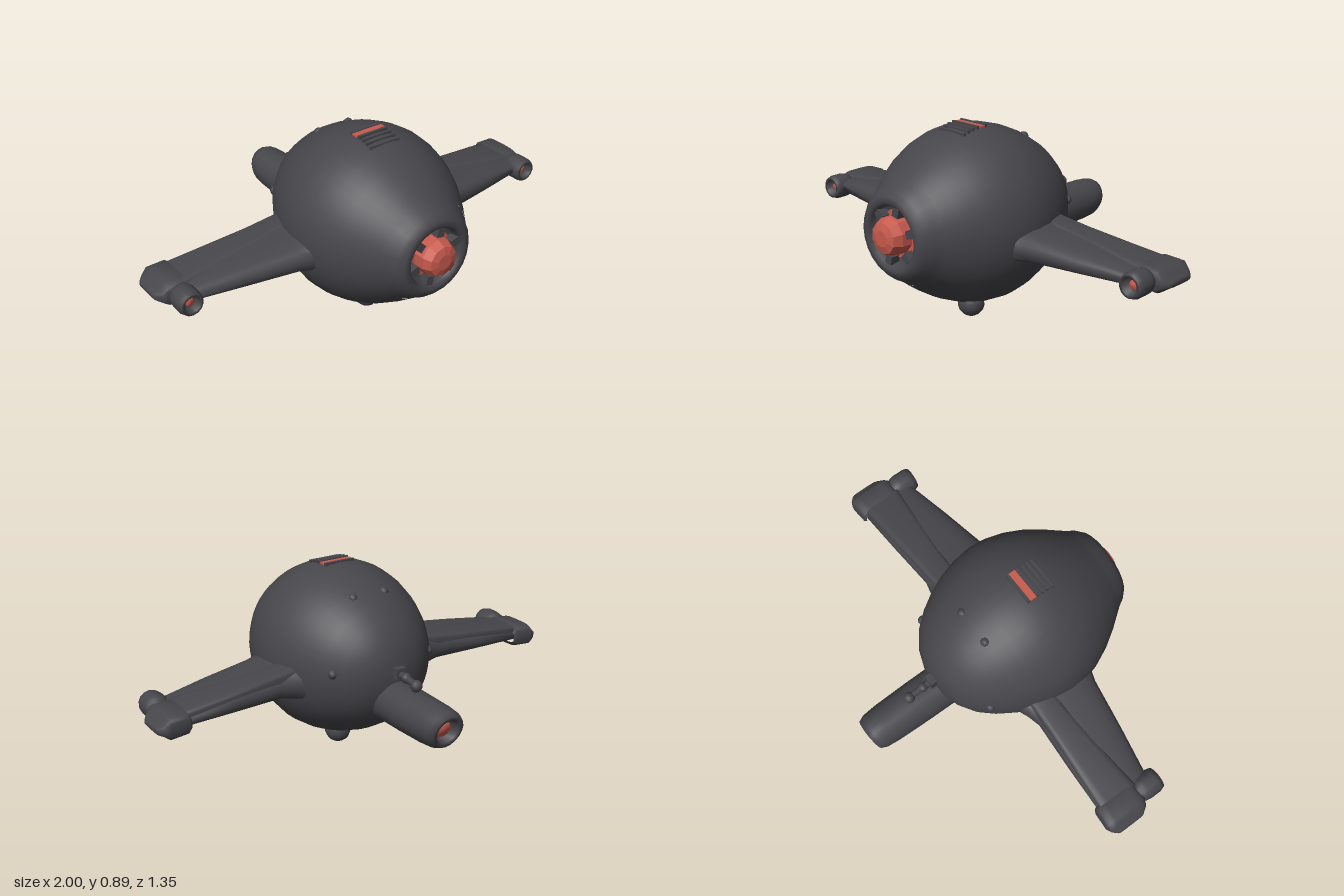
import * as THREE from 'three';

const hull = new THREE.MeshStandardMaterial({ color: 0x46464b });
hull.name = 'charcoal hull';
const red = new THREE.MeshStandardMaterial({ color: 0xc85a4e });
red.name = 'red lens';

const V = (pts) => pts.map(([r, t]) => new THREE.Vector2(r, t));

function add(parent, name, geo, mat, x = 0, y = 0, z = 0) {
  const m = new THREE.Mesh(geo, mat);
  m.name = name;
  m.position.set(x, y, z);
  parent.add(m);
  return m;
}

// Lathe turned so its axis runs along +z; points are [radius, z]
const latheZ = (pts, n) => new THREE.LatheGeometry(V(pts), n).rotateX(Math.PI / 2);

// Faceted copy of a geometry
function facet(geo) {
  const g = geo.toNonIndexed();
  g.computeVertexNormals();
  return g;
}

// Rounded sections stacked along x: [x, z0, z1, y0, y1]; side is +1 or -1
function loftX(sections, side, power) {
  const n = 20, pos = [], idx = [];
  const soft = (v) => Math.sign(v) * Math.pow(Math.abs(v), power);
  for (const [x, z0, z1, y0, y1] of sections) {
    for (let k = 0; k < n; k++) {
      const a = (side * 2 * Math.PI * k) / n;
      pos.push(side * x, (y0 + y1) / 2 + ((y1 - y0) / 2) * soft(Math.sin(a)),
        (z0 + z1) / 2 + ((z1 - z0) / 2) * soft(Math.cos(a)));
    }
  }
  for (let i = 0; i < sections.length - 1; i++) {
    for (let k = 0; k < n; k++) {
      const a = i * n + k, b = i * n + ((k + 1) % n);
      idx.push(a, a + n, b, b, a + n, b + n);
    }
  }
  // Outer end cap
  const last = (sections.length - 1) * n;
  for (let k = 1; k < n - 1; k++) idx.push(last, last + k + 1, last + k);
  const g = new THREE.BufferGeometry();
  g.setAttribute('position', new THREE.Float32BufferAttribute(pos, 3));
  g.setIndex(idx);
  g.computeVertexNormals();
  return g;
}

function makeWing(side) {
  const w = new THREE.Group();
  w.name = side > 0 ? 'leftWing' : 'rightWing';

  // Root fairing and main blade
  add(w, 'wingBlade', loftX([
    [0.28, -0.09, 0.32, 0.34, 0.54], [0.36, -0.06, 0.295, 0.362, 0.515],
    [0.42, -0.045, 0.275, 0.372, 0.5], [0.65, -0.06, 0.235, 0.378, 0.478],
    [0.88, -0.07, 0.19, 0.385, 0.45],
  ], side, 0.7), hull);

  // Raised rear spar
  add(w, 'wingSpar', loftX([
    [0.34, -0.035, 0.085, 0.4, 0.52], [0.5, -0.04, 0.09, 0.4, 0.5], [0.88, -0.065, 0.125, 0.39, 0.462],
  ], side, 0.45), hull);

  // Barrel at the wing tip
  add(w, 'tipBarrel', loftX([
    [0.855, -0.075, 0.115, 0.38, 0.44], [0.87, -0.085, 0.12, 0.36, 0.465], [0.95, -0.09, 0.12, 0.355, 0.46],
    [0.975, -0.08, 0.11, 0.375, 0.43], [0.995, -0.06, 0.08, 0.385, 0.415], [1.0, -0.05, 0.07, 0.392, 0.408],
  ], side, 0.5), hull);

  // Forward pod with hollow muzzle and lamp
  add(w, 'tipPod', latheZ([
    [0.03, 0.06], [0.036, 0.11], [0.052, 0.125], [0.057, 0.15], [0.057, 0.2],
    [0.05, 0.222], [0.036, 0.222], [0.03, 0.195], [0, 0.195],
  ], 14), hull, side * 0.908, 0.413, 0);
  add(w, 'tipLamp', latheZ([[0.023, 0.19], [0.018, 0.2], [0, 0.203]], 8), red, side * 0.908, 0.413, 0);
  return w;
}

export function createModel() {
  const model = new THREE.Group();
  model.name = 'roundProbe';
  const cy = 0.492;

  // Egg-shaped body, open at the nose where the collar begins
  add(model, 'body', latheZ([
    [0, -0.305], [0.08, -0.298], [0.155, -0.27], [0.225, -0.22], [0.28, -0.155], [0.326, -0.08],
    [0.361, 0], [0.384, 0.08], [0.394, 0.16], [0.387, 0.24], [0.366, 0.32], [0.33, 0.4],
    [0.28, 0.48], [0.232, 0.545],
  ], 48), hull, 0, cy, 0);

  // Nose collar with recess
  add(model, 'noseCollar', latheZ([
    [0.234, 0.542], [0.212, 0.573], [0.194, 0.605], [0.17, 0.63], [0.145, 0.634], [0.13, 0.62], [0.122, 0.58], [0, 0.575],
  ], 24), hull, 0, cy, 0);

  // Faceted lens with its glowing seat and clamps
  add(model, 'lensSeat', new THREE.RingGeometry(0.06, 0.104, 24), red, 0, 0.497, 0.585);
  add(model, 'noseLens', facet(latheZ([
    [0.085, 0.575], [0.084, 0.632], [0.068, 0.67], [0.035, 0.68], [0, 0.68],
  ], 10)), red, 0, 0.497, 0);
  for (let i = 0; i < 6; i++) {
    const a = (i * Math.PI) / 3 + 0.3;
    const clamp = add(model, 'lensClamp', new THREE.BoxGeometry(0.04, 0.035, 0.045), hull,
      Math.cos(a) * 0.11, cy + Math.sin(a) * 0.11, 0.6);
    clamp.rotation.z = a;
  }

  for (const side of [1, -1]) {
    model.add(makeWing(side));
    // Low rivet domes on the upper and rear hull
    for (const [x, y, z] of [[0.08, 0.796, -0.08], [0.25, 0.52, -0.18]]) {
      add(model, 'rivet', new THREE.SphereGeometry(0.022, 8, 6), hull, side * x, y, z);
    }
  }

  // Dorsal vent: red window sunk between slats
  const vent = new THREE.Group();
  vent.name = 'dorsalVent';
  model.add(vent);
  add(vent, 'ventWindow', new THREE.BoxGeometry(0.15, 0.008, 0.034), red, 0, 0.883, 0.172);
  for (const [z, y] of [[0.15, 0.884], [0.196, 0.884], [0.222, 0.88], [0.248, 0.875], [0.274, 0.867]]) {
    add(vent, 'ventSlat', new THREE.BoxGeometry(0.15, 0.014, 0.012), hull, 0, y, z);
  }

  // Tail boom with red exhaust, end face leaning back at the top
  const tail = new THREE.Group();
  tail.name = 'tailBoom';
  tail.position.set(0, 0.373, 0);
  model.add(tail);
  const lean = (g) => {
    const p = g.attributes.position;
    for (let i = 0; i < p.count; i++) {
      if (p.getZ(i) < -0.5) p.setZ(i, p.getZ(i) - p.getY(i) * 0.25);
    }
    g.computeVertexNormals();
    return g;
  };
  add(tail, 'tailTube', lean(latheZ([
    [0, -0.605], [0.05, -0.605], [0.054, -0.648], [0.076, -0.652], [0.088, -0.625], [0.094, -0.56],
    [0.098, -0.4], [0.099, -0.28], [0.1, -0.18],
  ], 18)), hull);
  add(tail, 'tailExhaust', lean(latheZ([[0, -0.628], [0.034, -0.624], [0.044, -0.6]], 8)), red);

  // Antenna above the tail
  add(model, 'antennaBase', new THREE.BoxGeometry(0.05, 0.05, 0.06), hull, 0, 0.515, -0.3);
  const rod = add(model, 'antennaRod', new THREE.CylinderGeometry(0.014, 0.018, 0.15, 8), hull, 0, 0.506, -0.37);
  rod.rotation.x = -Math.PI / 2 - 0.08;
  add(model, 'antennaJoint', new THREE.SphereGeometry(0.023, 8, 6), hull, 0, 0.508, -0.36);
  add(model, 'antennaTip', new THREE.SphereGeometry(0.026, 10, 8), hull, 0, 0.498, -0.433);
  add(model, 'antennaStrut', new THREE.BoxGeometry(0.02, 0.05, 0.025), hull, 0, 0.475, -0.425);

  // Belly sensor
  add(model, 'bellySensor', new THREE.SphereGeometry(0.061, 12, 9), hull, 0, 0.062, 0.17);
  add(model, 'bellyNeck', new THREE.CylinderGeometry(0.046, 0.052, 0.06, 12), hull, 0, 0.09, 0.17);
  add(model, 'bellyLens', new THREE.SphereGeometry(0.062, 12, 3, 0, Math.PI * 2, Math.PI * 0.87, Math.PI * 0.13),
    red, 0, 0.062, 0.17);

  return model;
}
